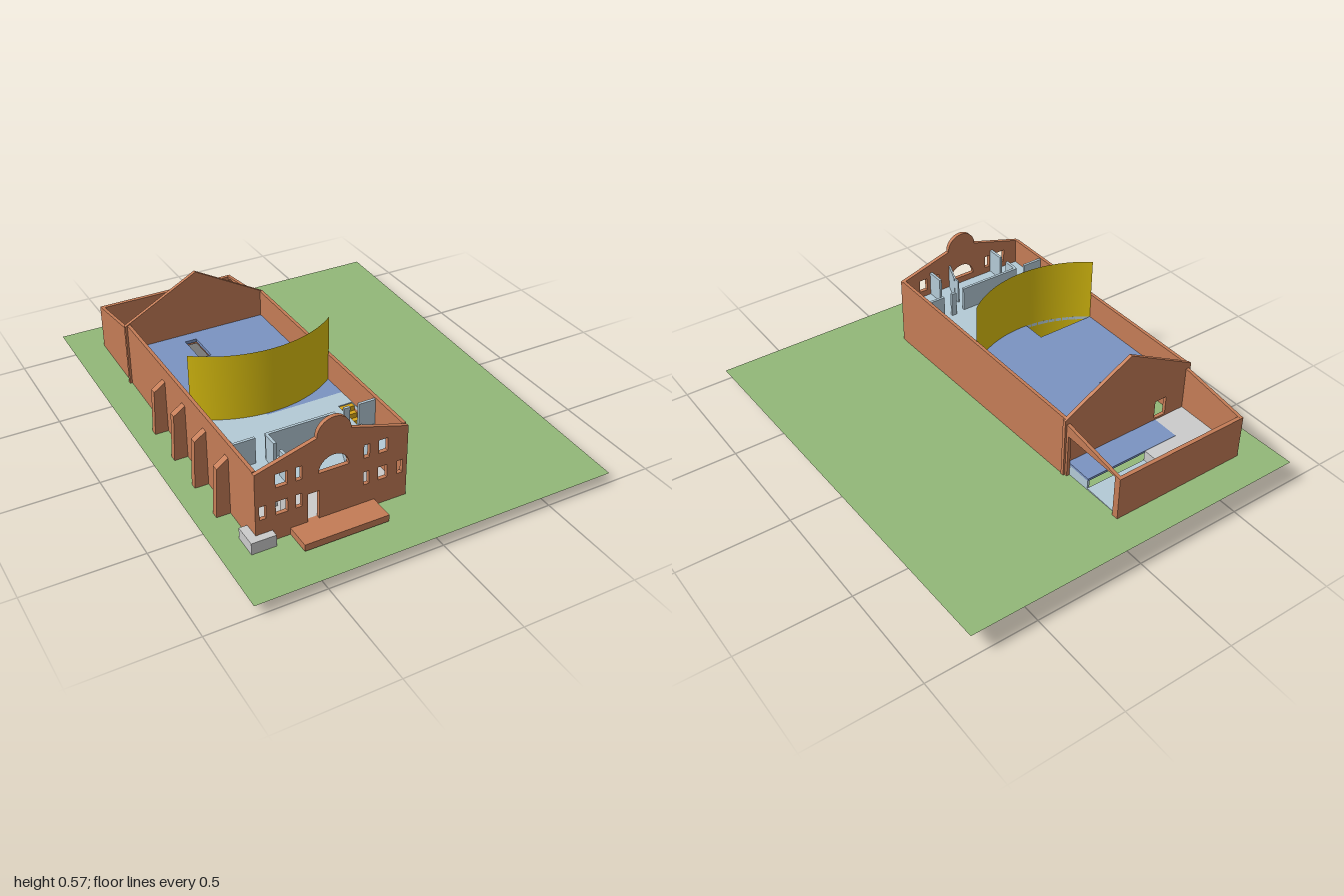
import * as THREE from 'three';

const mat = (color, extra = {}) => new THREE.MeshStandardMaterial({ color, ...extra });
const brick = mat(0xc47c56), grey = mat(0xcccccc), pale = mat(0xb4cad6);
const blue = mat(0x7a93c2), gold = mat(0xd9a61a), dark = mat(0x777777);
const yellow = mat(0xdcc010, { side: THREE.DoubleSide });
const green = mat(0x92b878, { side: THREE.DoubleSide });

export function createModel() {
  const model = new THREE.Group();

  const add = (name, geometry, material) => {
    const mesh = new THREE.Mesh(geometry, material);
    mesh.name = name;
    model.add(mesh);
    return mesh;
  };
  // Box given by its limits on each axis
  const box = (name, m, x0, x1, y0, y1, z0, z1) =>
    add(name, new THREE.BoxGeometry(x1 - x0, y1 - y0, z1 - z0)
      .translate((x0 + x1) / 2, (y0 + y1) / 2, (z0 + z1) / 2), m);
  const shapeOf = pts => new THREE.Shape(pts.map(p => new THREE.Vector2(...p)));
  const rect = (x0, x1, y0, y1) =>
    new THREE.Path([[x0, y0], [x1, y0], [x1, y1], [x0, y1]].map(p => new THREE.Vector2(...p)));
  const extrude = (shape, depth) =>
    new THREE.ExtrudeGeometry(shape, { depth, bevelEnabled: false, curveSegments: 24 });
  // Horizontal slab from a plan of [x, z] points
  const slab = (name, m, pts, y0, y1, holes = []) => {
    const s = shapeOf(pts.map(([x, z]) => [x, -z]));
    s.holes.push(...holes.map(([x0, x1, z0, z1]) => rect(x0, x1, -z1, -z0)));
    add(name, extrude(s, y1 - y0).rotateX(-Math.PI / 2).translate(0, y0, 0), m);
  };
  // Wall lying along z, from a profile of [z, y] points
  const sideWall = (name, pts, x, thick, holes = []) => {
    const s = shapeOf(pts.map(([z, y]) => [-z, y]));
    s.holes.push(...holes.map(([z0, z1, y0, y1]) => rect(-z1, -z0, y0, y1)));
    add(name, extrude(s, thick).rotateY(Math.PI / 2).translate(x, 0, 0), brick);
  };

  // Gently sloping lawn
  const lawn = new THREE.PlaneGeometry(1.6, 2).rotateX(-Math.PI / 2);
  const lp = lawn.attributes.position;
  for (let i = 0; i < lp.count; i++) lp.setY(i, 0.0825 - 0.0325 * lp.getZ(i));
  lawn.computeVertexNormals();
  add('lawn', lawn, green);

  // Front wall: gable with a round crest, windows, lunette and door
  const cx = -0.325;
  const front = new THREE.Shape();
  front.moveTo(-0.655, 0.06);
  front.lineTo(0, 0.06);
  front.lineTo(0, 0.385);
  front.lineTo(cx + 0.073, 0.46);
  front.absarc(cx, 0.46, 0.073, 0, Math.PI, false);
  front.lineTo(-0.655, 0.385);
  front.closePath();
  const inner = [[-0.57, -0.52], [-0.485, -0.46], [-0.195, -0.17], [-0.13, -0.09]];
  for (const [a, b] of inner) front.holes.push(rect(a, b, 0.3, 0.36));
  for (const [a, b] of [...inner, [-0.638, -0.61], [-0.045, -0.02]])
    front.holes.push(rect(a, b, 0.175, 0.235));
  front.holes.push(rect(-0.435, -0.387, 0.09, 0.22));
  const lunette = new THREE.Path();
  lunette.absarc(cx, 0.3, 0.065, 0, Math.PI, false);
  lunette.closePath();
  front.holes.push(lunette);
  add('frontWall', extrude(front, 0.018).translate(0, 0, 0.709), brick);

  // Long side walls and back gable
  box('leftWall', brick, -0.015, 0, 0.06, 0.39, -0.5, 0.71);
  box('rightWall', brick, -0.655, -0.64, 0.06, 0.39, -0.5, 0.71);
  const gable = shapeOf([[-0.665, 0.06], [0.004, 0.06], [0.004, 0.385], [cx, 0.567], [-0.665, 0.385]]);
  gable.holes.push(rect(-0.54, -0.48, 0.17, 0.26));
  add('backGable', extrude(gable, 0.016).translate(0, 0, -0.508), brick);

  // Roofless rear annex
  const slope = [[-0.835, 0.06], [-0.5, 0.06], [-0.5, 0.365], [-0.835, 0.315]];
  sideWall('annexRightWall', slope, -0.655, 0.015);
  sideWall('annexLeftWall', slope, -0.02, 0.015, [[-0.81, -0.52, 0.061, 0.31]]);
  box('annexBackWall', brick, -0.655, -0.005, 0.06, 0.315, -0.84, -0.822);
  box('annexFloor', pale, -0.325, -0.02, 0.065, 0.11, -0.823, -0.635);
  box('annexPlatform', grey, -0.64, -0.32, 0.065, 0.16, -0.823, -0.635);
  box('annexPlatformSide', grey, -0.64, -0.488, 0.065, 0.16, -0.635, -0.505);
  box('annexRamp', blue, -0.488, -0.02, 0.15, 0.161, -0.637, -0.505);
  box('annexRampSide', pale, -0.03, -0.02, 0.065, 0.15, -0.635, -0.51);

  // Buttresses along the right wall
  for (const z of [-0.105, 0.095, 0.295, 0.495]) {
    const s = shapeOf([[-0.715, 0.06], [-0.65, 0.06], [-0.65, 0.328], [-0.705, 0.29]]);
    add('buttress', extrude(s, 0.03).translate(0, 0, z - 0.015), brick);
  }

  // Terrace and corner block
  box('terrace', brick, -0.51, -0.145, 0.06, 0.09, 0.727, 0.84);
  box('cornerBlock', grey, -0.69, -0.585, 0, 0.11, 0.655, 0.76);

  // Ground floor
  box('groundFloor', grey, -0.64, -0.015, 0.065, 0.09, -0.492, 0.709);

  // Curved screen wall
  const R = 0.506, half = 0.672, cz = -0.266;
  add('curvedScreen', new THREE.CylinderGeometry(R, R, 0.475, 40, 1, true, -half, half * 2)
    .translate(cx, 0.3275, cz), yellow);

  // Upper floors
  const arc = [];
  for (let i = 0; i <= 10; i++) {
    const x = -0.64 + 0.028 * i;
    arc.push([x, cz + Math.sqrt(R * R - (x - cx) ** 2)]);
  }
  slab('upperFrontFloor', pale,
    [...arc, [-0.36, 0.25], [-0.015, 0.25], [-0.015, 0.709], [-0.64, 0.709]], 0.255, 0.27,
    [[-0.638, -0.57, 0.335, 0.505], [-0.08, -0.017, 0.335, 0.5]]);
  slab('hallFloor', blue,
    [[-0.64, -0.492], [-0.015, -0.492], [-0.015, 0.25], [-0.36, 0.25], [-0.36, 0.13], [-0.64, 0.13]],
    0.255, 0.27, [[-0.415, -0.362, -0.435, -0.28]]);
  box('stairwellFloor', dark, -0.415, -0.362, 0.235, 0.25, -0.435, -0.28);
  slab('stageFloor', gold, [...arc, [-0.36, 0.13], [-0.64, 0.13]], 0.09, 0.14);

  // Stairs rising toward the back
  const stairs = (x0, x1, z0, z1, top, n) => {
    for (let i = 0; i < n; i++) {
      const d = (z1 - z0) / n;
      box('stairStep', gold, x0, x1, 0.09, 0.09 + (top - 0.09) * (i + 1) / n,
        z1 - d * (i + 1), z1 - d * i);
    }
  };
  stairs(-0.638, -0.57, 0.335, 0.505, 0.265, 8);
  stairs(-0.08, -0.017, 0.335, 0.5, 0.265, 8);
  stairs(-0.425, -0.362, 0.13, 0.235, 0.25, 6);

  // Partitions, grey below and pale above
  const partitions = [
    [-0.64, -0.545, 0.508, 0.52], [-0.5, -0.2, 0.508, 0.52], [-0.155, -0.13, 0.5, 0.512],
    [-0.09, -0.015, 0.5, 0.512], [-0.503, -0.49, 0.52, 0.585], [-0.503, -0.49, 0.63, 0.709],
    [-0.16, -0.148, 0.63, 0.709], [-0.22, -0.213, 0.575, 0.605],
  ];
  for (const [x0, x1, z0, z1] of partitions) {
    box('upperPartition', pale, x0, x1, 0.27, 0.385, z0, z1);
    box('lowerPartition', grey, x0, x1, 0.09, 0.255, z0, z1);
  }
  const slanted = add('slantedPartition', new THREE.BoxGeometry(0.008, 0.115, 0.115), pale);
  slanted.position.set(-0.236, 0.3275, 0.655);
  slanted.rotation.y = -0.37;

  return model;
}
